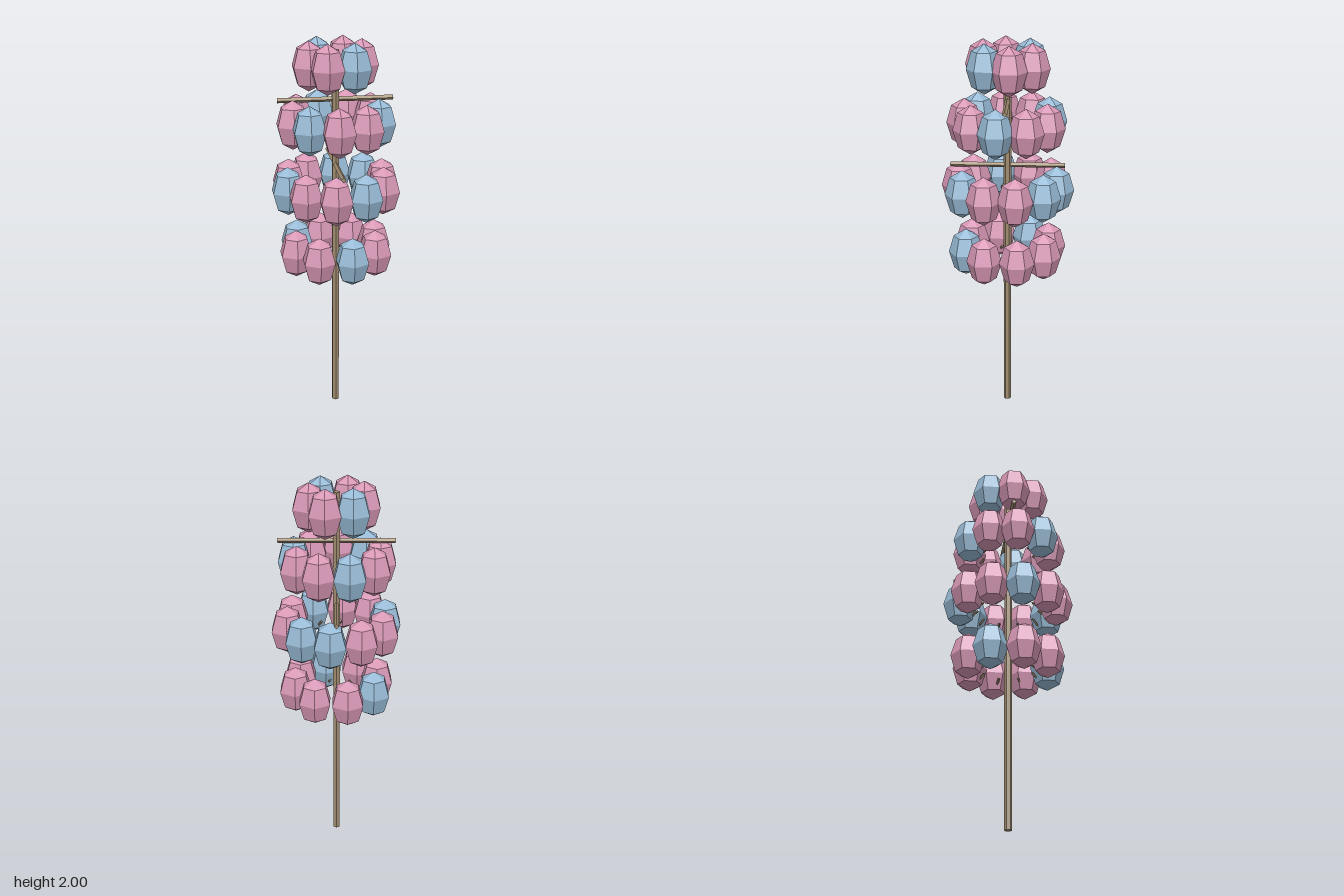
import * as THREE from 'three';

const material = (name, color) => {
  const m = new THREE.MeshStandardMaterial({ color, flatShading: true });
  m.name = name;
  return m;
};

export function createModel() {
  const group = new THREE.Group();
  group.name = 'flowerSpike';
  const pink = material('petal pink', 0xd898b6);
  const blue = material('petal blue', 0x98bbd6);
  const brown = material('stem brown', 0xa08c70);

  const add = (name, geometry, mat, parent = group) => {
    const mesh = new THREE.Mesh(geometry, mat);
    mesh.name = name;
    parent.add(mesh);
    return mesh;
  };

  // Upright six-sided stem
  add('stem', new THREE.CylinderGeometry(0.02, 0.02, 1.95, 6), brown).position.y = 0.975;

  // Two crossing twigs, square in section with an edge on top
  const twig = new THREE.CylinderGeometry(0.013, 0.013, 0.59, 4);
  const twigX = add('upperTwig', twig, brown);
  twigX.rotation.z = Math.PI / 2;
  twigX.position.y = 1.7;
  const twigZ = add('lowerTwig', twig, brown);
  twigZ.rotation.x = Math.PI / 2;
  twigZ.position.y = 1.36;

  // Faceted bud, corners towards the front and back
  const bud = new THREE.SphereGeometry(0.091, 6, 4);
  bud.rotateY(Math.PI / 2);
  bud.scale(1, 1.4, 1);

  // Short stalk under each bud, sloping outwards and down
  const stalk = new THREE.CylinderGeometry(0.007, 0.007, 0.1, 4);
  stalk.rotateZ(Math.PI / 2 - 0.67);

  // Rings of buds: height, radius, count, first angle (x towards z), blue offset
  const rings = [
    [0.897, 0.222, 8, -15, 2],
    [1.237, 0.256, 10, -47, 0],
    [1.578, 0.222, 9, 13, 0],
    [1.873, 0.137, 6, 54, 0],
  ];
  rings.forEach(([y, radius, count, start, offset], r) => {
    const ring = new THREE.Group();
    ring.name = `budRing${r + 1}`;
    ring.position.y = y;
    group.add(ring);
    for (let i = 0; i < count; i++) {
      const a = THREE.MathUtils.degToRad(start + (i * 360) / count);
      const c = Math.cos(a), s = Math.sin(a);
      add('bud', bud, i % 3 === offset ? blue : pink, ring).position.set(radius * c, 0, radius * s);
      const stem = add('budStalk', stalk, brown, ring);
      const d = radius * 0.78;
      stem.position.set(d * c, -0.07, d * s);
      stem.rotation.y = -a;
    }
  });
  return group;
}
